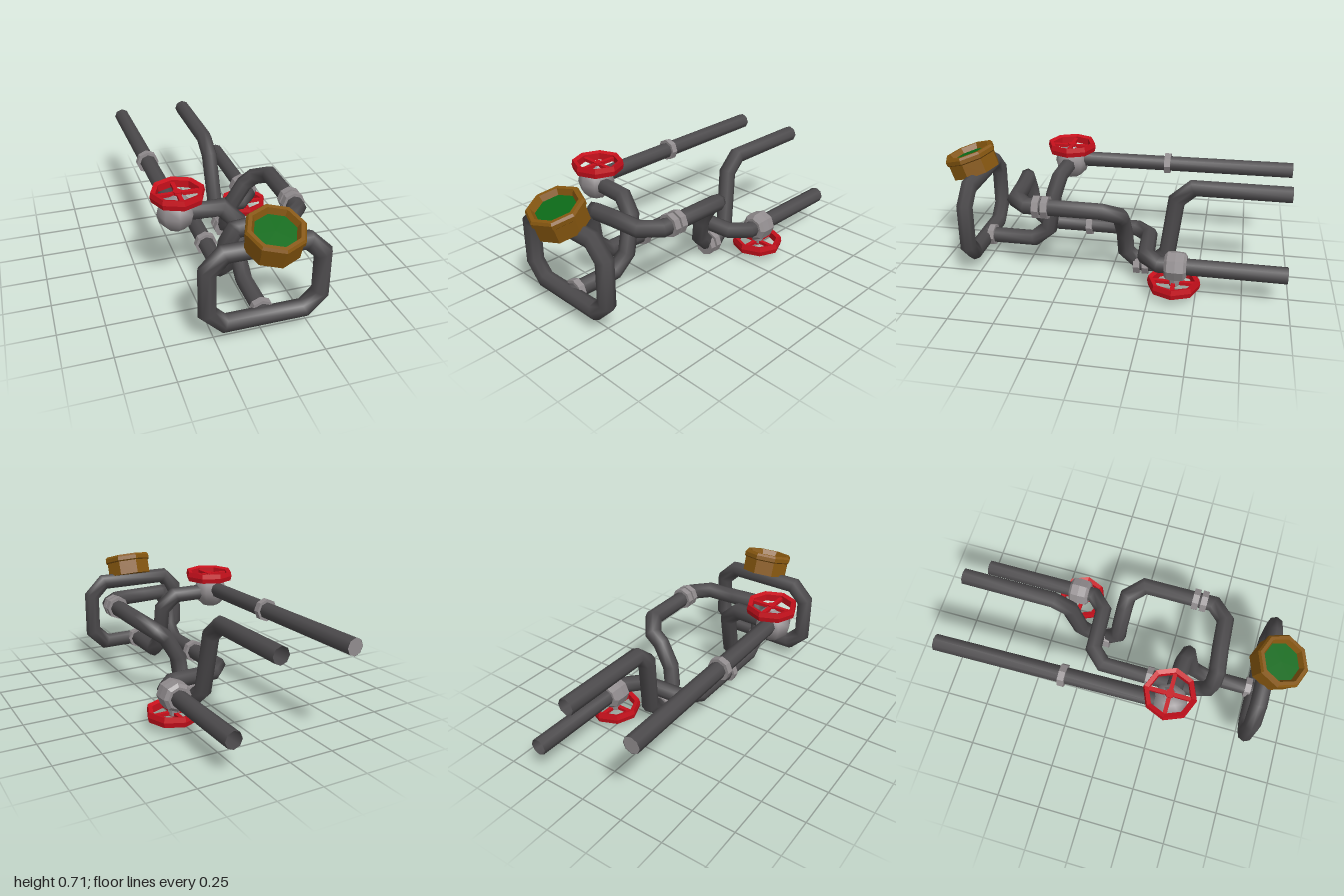
import * as THREE from 'three';

const mat = (color, flatShading = false) =>
  new THREE.MeshStandardMaterial({ color, flatShading, side: THREE.DoubleSide });
const IRON = mat(0x4c4a4c), STEEL = mat(0x918c8e, true), RED = mat(0xc8101c, true);
const BRASS = mat(0x85560f, true), GREEN = mat(0x0c6a18, true);
const SIDES = 8, R = 0.047;

// Replaces each corner of a path with a bevel of the given length
function bevel(pts, cut, closed) {
  const out = [], n = pts.length;
  pts.forEach((p, i) => {
    if (!closed && (i === 0 || i === n - 1)) return out.push(p);
    for (const q of [pts[(i + n - 1) % n], pts[(i + 1) % n]]) {
      const c = Math.min(cut, p.distanceTo(q) * 0.45);
      out.push(p.clone().add(q.clone().sub(p).setLength(c)));
    }
  });
  return out;
}

// Sweeps an octagon along a path with mitred joints
function pipe(name, coords, { cut = 0.08, closed = false } = {}) {
  const path = bevel(coords.map(c => new THREE.Vector3(...c)), cut, closed);
  const n = path.length, segs = closed ? n : n - 1;
  const dirs = [];
  for (let i = 0; i < segs; i++) dirs.push(path[(i + 1) % n].clone().sub(path[i]).normalize());
  const d0 = dirs[0];
  const u = new THREE.Vector3(0, 1, 0);
  if (Math.abs(d0.y) > 0.9) u.set(0, 0, 1);
  u.addScaledVector(d0, -u.dot(d0)).normalize();
  const v = d0.clone().cross(u);
  let ring = [];
  for (let j = 0; j < SIDES; j++) {
    const a = j / SIDES * Math.PI * 2;
    ring.push(u.clone().multiplyScalar(R * Math.cos(a)).addScaledVector(v, R * Math.sin(a)));
  }
  const pos = [], idx = [];
  for (let i = 0; i < n; i++) {
    const into = dirs[i - 1] || (closed ? dirs[segs - 1] : d0);
    const outOf = dirs[i] || into;
    const plane = into.clone().add(outOf);
    const along = i === 0 ? d0 : into;
    ring = ring.map(o => o.clone().addScaledVector(along, -o.dot(plane) / along.dot(plane)));
    ring.forEach(o => pos.push(path[i].x + o.x, path[i].y + o.y, path[i].z + o.z));
  }
  for (let i = 0; i < segs; i++) {
    for (let j = 0; j < SIDES; j++) {
      const k = (j + 1) % SIDES, m = (i + 1) % n;
      const a = i * SIDES + j, b = i * SIDES + k, c = m * SIDES + k, d = m * SIDES + j;
      idx.push(a, b, c, a, c, d);
    }
  }
  const g = new THREE.BufferGeometry();
  g.setAttribute('position', new THREE.Float32BufferAttribute(pos, 3));
  g.setIndex(idx);
  g.computeVertexNormals();
  return part(name, g, IRON);
}

function part(name, geometry, material, x = 0, y = 0, z = 0) {
  const m = new THREE.Mesh(geometry, material);
  m.name = name;
  m.position.set(x, y, z);
  return m;
}

const lathe = pts => new THREE.LatheGeometry(pts.map(p => new THREE.Vector2(...p)), SIDES);

// Handwheel: octagonal rim, crossed spokes and hub
function wheel(name, x, y, z) {
  const g = new THREE.Group();
  g.name = name;
  g.position.set(x, y, z);
  g.add(part('wheelRim', lathe([[0.115, -0.02], [0.14, -0.028], [0.146, 0], [0.14, 0.028],
    [0.115, 0.02], [0.115, -0.02]]), RED));
  for (const turn of [0, Math.PI / 2]) {
    const spoke = part('wheelSpoke', new THREE.BoxGeometry(0.24, 0.018, 0.022), RED);
    spoke.rotation.y = turn;
    g.add(spoke);
  }
  g.add(part('wheelHub', new THREE.CylinderGeometry(0.025, 0.025, 0.03, SIDES), RED));
  return g;
}

export function createModel() {
  const model = new THREE.Group();
  model.name = 'pipework';

  // Upright frame at the front
  model.add(pipe('frontFrame', [[-0.293, 0.112, 0.79], [0.3, 0.112, 0.79],
    [0.3, 0.517, 0.79], [-0.293, 0.517, 0.79]], { closed: true, cut: 0.085 }));

  // Pipe from the frame up to the upper valve, and its run to the back
  model.add(pipe('framePipe', [[0.003, 0.118, 0.79], [0.003, 0.118, 0.41],
    [0.003, 0.495, 0.345], [-0.32, 0.5, 0.33]]));
  model.add(pipe('upperRightPipe', [[-0.325, 0.52, 0.33], [-0.349, 0.52, -1]]));
  const cap = part('pipeEndCap', new THREE.CircleGeometry(R, SIDES), STEEL, -0.349, 0.52, -0.998);
  cap.rotation.y = Math.PI;
  model.add(cap);

  // Looping pipe: lower valve, forward, up, across, back, down and out at the rear
  model.add(pipe('loopPipe', [
    [0.303, 0.18, -0.98], [0.303, 0.18, -0.22], [-0.115, 0.18, -0.195],
    [-0.115, 0.18, 0.505], [-0.115, 0.475, 0.545], [-0.02, 0.475, 0.527], [0.315, 0.475, 0.505],
    [0.315, 0.475, -0.06], [0.13, 0.34, -0.075], [0.097, 0.065, -0.09],
    [0.097, 0.065, -0.31], [0.063, 0.54, -0.37], [0.063, 0.54, -0.98]]));

  // Collars around the pipes
  const collars = [[0.003, 0.118, 0.75], [-0.338, 0.52, -0.265], [-0.115, 0.18, 0.17],
    [0.315, 0.475, 0.32], [0.315, 0.475, 0.368], [0.097, 0.065, -0.15], [0.097, 0.065, -0.2]];
  for (const [x, y, z] of collars) {
    const g = new THREE.CylinderGeometry(0.064, 0.064, 0.036, SIDES).rotateX(Math.PI / 2);
    model.add(part('collar', g, STEEL, x, y, z));
  }

  // Upper valve: ball, stem and wheel
  const smoothSteel = mat(0x918c8e);
  model.add(part('upperValveBody', new THREE.SphereGeometry(0.103, SIDES, 6), smoothSteel, -0.32, 0.505, 0.325));
  model.add(part('upperValveStem', new THREE.CylinderGeometry(0.03, 0.065, 0.04, SIDES), STEEL, -0.308, 0.585, 0.32));
  model.add(wheel('upperValveWheel', -0.306, 0.607, 0.32));

  // Lower valve: rounded fitting, stem and wheel underneath
  const body = lathe([[R, -0.06], [0.062, -0.06], [0.08, -0.045], [0.083, 0],
    [0.08, 0.045], [0.062, 0.06], [R, 0.06]]).rotateX(Math.PI / 2);
  model.add(part('lowerValveBody', body, STEEL, 0.303, 0.18, -0.388));
  model.add(part('lowerValveStem', new THREE.CylinderGeometry(0.035, 0.03, 0.06, SIDES), STEEL, 0.303, 0.1, -0.385));
  model.add(wheel('lowerValveWheel', 0.304, 0.078, -0.38));

  // Tilted gauge on top of the frame
  const gauge = new THREE.Group();
  gauge.name = 'gauge';
  gauge.add(part('gaugeCase', lathe([[0, 0], [0.143, 0], [0.143, 0.085], [0.152, 0.092],
    [0.152, 0.115], [0.142, 0.128], [0.122, 0.128], [0.106, 0.095]]), BRASS));
  const dial = new THREE.CircleGeometry(0.108, SIDES).rotateX(-Math.PI / 2);
  gauge.add(part('gaugeDial', dial, GREEN, 0, 0.097, 0));
  gauge.position.set(0.02, 0.54, 0.813);
  gauge.rotation.x = 0.32;
  model.add(gauge);

  return model;
}
